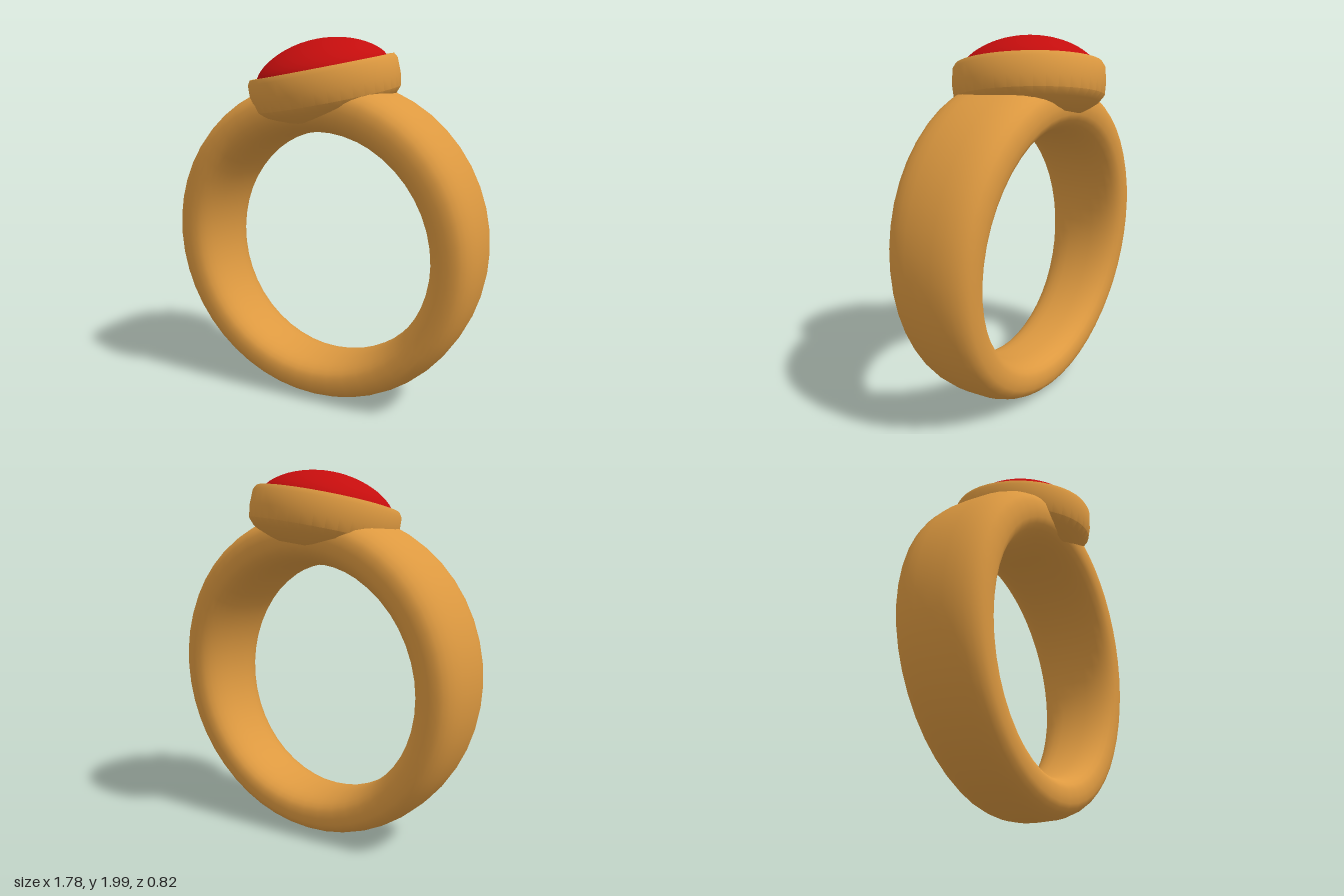
import * as THREE from 'three';
import { toCreasedNormals } from 'three/addons/utils/BufferGeometryUtils.js';

// Closed hoop whose rounded section grows wider and thicker towards the top
function bandGeometry(around = 48, section = 28) {
  const pos = [], index = [];
  const round = (v) => Math.sign(v) * Math.pow(Math.abs(v), 2 / 2.6);
  for (let i = 0; i < around; i++) {
    const a = (i / around) * Math.PI * 2;
    const s = Math.sin(a), c = Math.cos(a);
    const width = 0.2 + 0.05 * (0.9 + 0.89 * c);
    for (let j = 0; j < section; j++) {
      const b = (j / section) * Math.PI * 2;
      const t = 0.5 + 0.5 * round(Math.cos(b)); // 0 at the finger side, 1 outside
      const r = THREE.MathUtils.lerp(0.635, 0.89, t);
      const cy = THREE.MathUtils.lerp(0.867, 0.9, t);
      pos.push(s * r, cy + c * r, width * round(Math.sin(b)));
      const i2 = (i + 1) % around, j2 = (j + 1) % section;
      const p = i * section + j, q = i * section + j2;
      const u = i2 * section + j, v = i2 * section + j2;
      index.push(p, q, u, q, v, u);
    }
  }
  const g = new THREE.BufferGeometry();
  g.setAttribute('position', new THREE.Float32BufferAttribute(pos, 3));
  g.setIndex(index);
  g.computeVertexNormals();
  return g;
}

const lathe = (points, segments) =>
  new THREE.LatheGeometry(points.map(([x, y]) => new THREE.Vector2(x, y)), segments);

export function createModel() {
  const gold = new THREE.MeshStandardMaterial({ color: 0xdd9940 });
  gold.name = 'gold';
  const red = new THREE.MeshStandardMaterial({ color: 0xc40d0d });
  red.name = 'red gem';

  const ring = new THREE.Group();
  ring.name = 'ring';
  const add = (parent, name, geometry, material) => {
    const mesh = new THREE.Mesh(geometry, material);
    mesh.name = name;
    parent.add(mesh);
  };

  add(ring, 'band', bandGeometry(), gold);

  // Setting, leaning slightly to one side and forward
  const head = new THREE.Group();
  head.name = 'head';
  head.position.set(-0.03, 1.84, 0);
  head.quaternion.setFromUnitVectors(
    new THREE.Vector3(0, 1, 0),
    new THREE.Vector3(-0.15, 1, 0.12).normalize()
  );
  ring.add(head);

  // Bezel cup with a thin raised rim
  const bezel = lathe([
    [0, -0.26], [0.27, -0.26], [0.37, -0.2], [0.4, -0.165], [0.408, -0.1],
    [0.405, -0.02], [0.39, 0.005], [0.35, 0.005], [0.335, -0.05],
  ], 40);
  add(head, 'bezel', toCreasedNormals(bezel, 0.6), gold);

  // Domed stone
  const dome = [];
  for (let i = 0; i <= 12; i++) {
    const u = Math.cos((i / 12) * Math.PI / 2);
    dome.push([i === 12 ? 0 : 0.352 * u, 0.15 * Math.pow(Math.max(0, 1 - u * u), 0.7)]);
  }
  add(head, 'gem', lathe(dome, 40), red);

  return ring;
}
